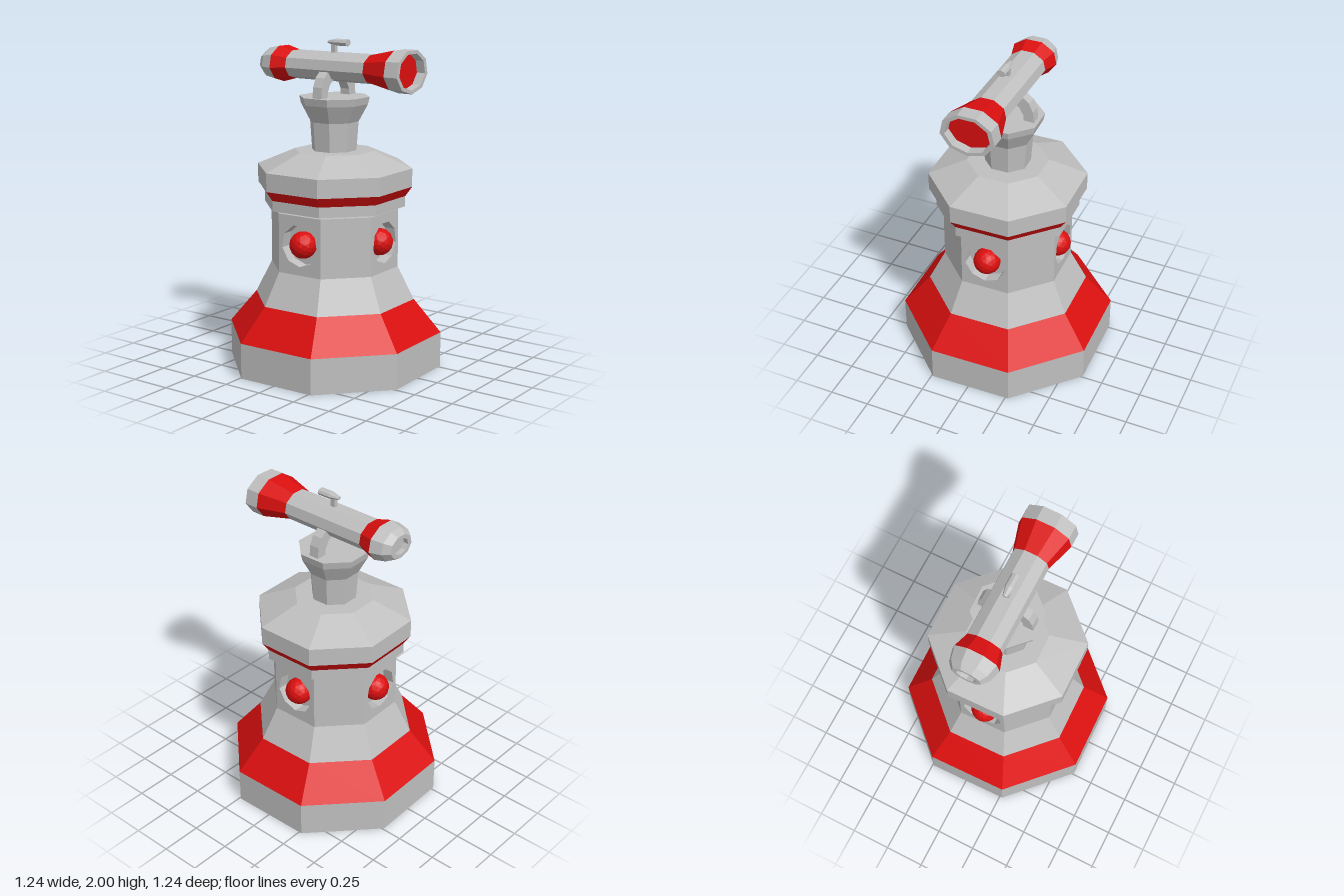
import * as THREE from 'three';

const gray = new THREE.MeshStandardMaterial({ color: 0xbfbfbf });
gray.name = 'stone gray';
const red = new THREE.MeshStandardMaterial({ color: 0xdb0f0f });
red.name = 'signal red';

const TURN = THREE.MathUtils.degToRad(23.8); // corner angle of the octagonal tower
const FACE = TURN - Math.PI / 8;             // angle of its front face
const SCOPE_Y = 1.832;

// Faceted normals baked into the geometry
function flat(geometry) {
  const g = geometry.index ? geometry.toNonIndexed() : geometry;
  g.computeVertexNormals();
  return g;
}

function add(parent, name, geometry, material) {
  const mesh = new THREE.Mesh(flat(geometry), material);
  mesh.name = name;
  parent.add(mesh);
  return mesh;
}

// Turned profile of [radius, height] pairs, listed from bottom to top
function lathe(profile, sides, start = 0) {
  return new THREE.LatheGeometry(profile.map(([r, y]) => new THREE.Vector2(r, y)), sides, start);
}
const tower = (profile) => lathe(profile, 8, TURN);
// Profile along +z, with one corner pointing down
const forward = (profile, sides = 9) => lathe(profile, sides).rotateX(Math.PI / 2);

// Wall faces of the body, with round sockets and red balls on every other one
function buildBodyWalls(parent) {
  const r = 0.395, half = r * Math.sin(Math.PI / 8), apothem = r * Math.cos(Math.PI / 8);
  const bottom = 0.62, top = 0.98, holeY = 0.8, holeR = 0.128, depth = 0.07;
  for (let i = 0; i < 8; i++) {
    const side = new THREE.Group();
    side.name = 'bodySide';
    side.rotation.y = FACE + (i * Math.PI) / 4;
    parent.add(side);

    const shape = new THREE.Shape([
      new THREE.Vector2(-half, bottom), new THREE.Vector2(half, bottom),
      new THREE.Vector2(half, top), new THREE.Vector2(-half, top),
    ]);
    if (i % 2 === 0) {
      const ring = [];
      for (let k = 0; k < 9; k++) {
        const t = (k / 9) * Math.PI * 2;
        ring.push(new THREE.Vector2(Math.sin(t) * holeR, holeY - Math.cos(t) * holeR));
      }
      shape.holes.push(new THREE.Path(ring));
      const socket = add(side, 'socket', forward([[holeR, 0], [holeR, -depth], [0, -depth]]), gray);
      socket.position.set(0, holeY, apothem);
      const ball = add(side, 'ball', new THREE.IcosahedronGeometry(0.083, 2), red);
      ball.position.set(0, holeY, 0.327);
    }
    add(side, 'bodyWall', new THREE.ShapeGeometry(shape), gray).position.z = apothem;
  }
}

function buildTower(parent) {
  // Base and flared skirt
  add(parent, 'base', tower([[0, 0], [0.665, 0], [0.665, 0.218]]), gray);
  add(parent, 'skirtBand', tower([[0.665, 0.218], [0.497, 0.419]]), red);
  add(parent, 'skirt', tower([[0.497, 0.419], [0.395, 0.62]]), gray);
  buildBodyWalls(parent);
  add(parent, 'bodyTop', tower([[0.395, 0.98], [0, 0.98]]), gray);
  add(parent, 'neck', tower([[0.113, 0.975], [0.113, 1.005]]), gray);

  // Turning head with a red band
  add(parent, 'headRim', tower([[0, 0.997], [0.437, 0.997], [0.437, 1.06]]), gray);
  add(parent, 'headBand', tower([[0.437, 1.06], [0.478, 1.118]]), red);
  add(parent, 'headCap', tower([[0.478, 1.118], [0.478, 1.23], [0.245, 1.33], [0, 1.33]]), gray);

  // Post widening into a collar
  add(parent, 'post', tower([[0.137, 1.33], [0.149, 1.505], [0.206, 1.61], [0.216, 1.655], [0, 1.655]]), gray);
}

// Arched yoke that carries the telescope
function buildYoke(parent) {
  const outer = [[0.177, 1.65], [0.17, 1.72], [0.145, 1.775], [0.09, 1.82]];
  const inner = [[0.112, 1.65], [0.11, 1.69], [0.085, 1.735], [0.045, 1.76]];
  const mirror = (list) => list.map(([x, y]) => [-x, y]).reverse();
  const outline = [...outer, ...mirror(outer), ...mirror(inner).reverse(), ...[...inner].reverse()];
  const shape = new THREE.Shape(outline.map(([x, y]) => new THREE.Vector2(x, y)));
  const geometry = new THREE.ExtrudeGeometry(shape, { depth: 0.064, bevelEnabled: false });
  add(parent, 'yoke', geometry.translate(0, 0, -0.032), gray);
}

function buildTelescope(parent) {
  const scope = new THREE.Group();
  scope.name = 'telescope';
  scope.position.y = SCOPE_Y;
  scope.scale.y = 0.77; // flattened tube
  parent.add(scope);

  add(scope, 'eyepiece', forward([
    [0, -0.465], [0.062, -0.465], [0.062, -0.495], [0.093, -0.495], [0.127, -0.455], [0.147, -0.38],
  ].map((p) => p)), gray);
  add(scope, 'rearBand', forward([[0.147, -0.38], [0.115, -0.285]]), red);
  add(scope, 'tube', forward([[0.115, -0.285], [0.115, 0.28]]), gray);
  add(scope, 'frontBand', forward([[0.115, 0.28], [0.168, 0.46]]), red);
  add(scope, 'frontRim', forward([[0.168, 0.46], [0.168, 0.55], [0.14, 0.55], [0.14, 0.495]]), gray);
  add(scope, 'lens', forward([[0.14, 0.495], [0, 0.495]]), red);

  // Small sight on a stem above the tube
  const sight = add(parent, 'sight', forward([
    [0, -0.04], [0.013, -0.04], [0.028, 0.02], [0.028, 0.1], [0, 0.1],
  ], 8), gray);
  sight.scale.y = 0.75;
  sight.position.y = 1.977;
  add(parent, 'sightStem', new THREE.BoxGeometry(0.025, 0.07, 0.03), gray).position.y = 1.938;
}

export function createModel() {
  const model = new THREE.Group();
  model.name = 'telescopeTower';
  buildTower(model);
  buildYoke(model);
  buildTelescope(model);
  return model;
}
